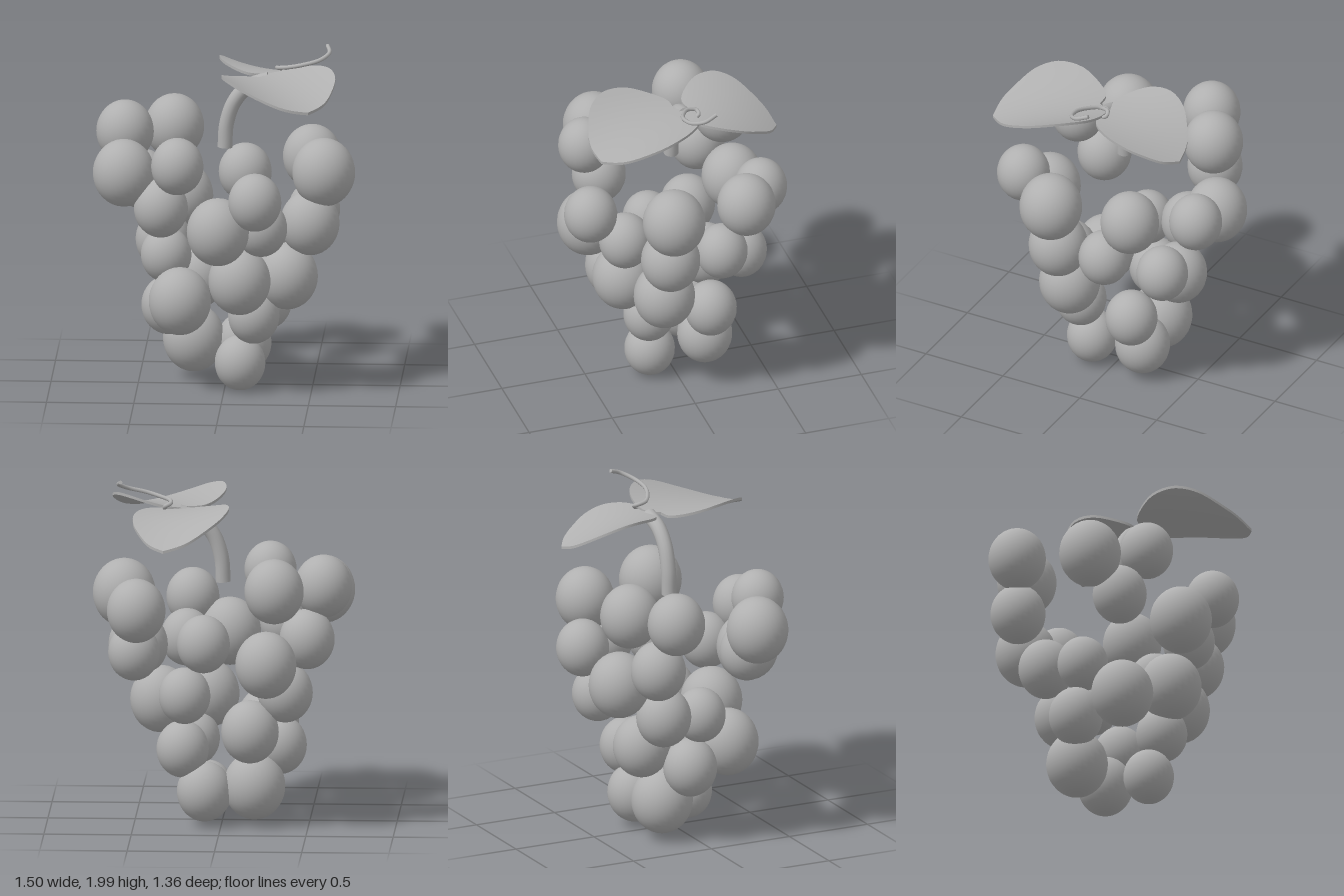
import * as THREE from 'three';

const grey = new THREE.MeshStandardMaterial({ color: 0xb0b0b0 });
grey.name = 'plain grey';

// Grapes: x, y, z, radius
const GRAPES = [
  // top tier
  [-0.59, 1.425, -0.27, 0.165], [-0.315, 1.42, -0.43, 0.17],
  [-0.57, 1.31, 0.26, 0.177], [-0.255, 1.39, 0.42, 0.15],
  [0.57, 1.3, 0.15, 0.18], [0.48, 1.28, -0.315, 0.168],
  // shoulder tier
  [0.195, 1.21, 0.53, 0.152], [0.085, 1.13, -0.53, 0.152],
  [-0.5, 1.13, -0.34, 0.158], [-0.355, 1.115, 0.3, 0.155],
  // middle tier
  [-0.02, 1.02, 0.475, 0.178], [0.22, 1.01, 0.33, 0.15],
  [0.49, 1.0, 0.145, 0.17], [0.5, 1.01, -0.16, 0.148],
  [-0.27, 1.0, -0.475, 0.175],
  // lower tier
  [-0.37, 0.8, -0.24, 0.158], [-0.34, 0.77, 0.01, 0.145],
  [0.2, 0.8, -0.375, 0.148], [0.095, 0.69, 0.3, 0.178],
  [0.36, 0.685, 0.14, 0.176], [-0.17, 0.575, -0.28, 0.165],
  [-0.25, 0.55, 0.23, 0.178],
  // bottom tier
  [-0.33, 0.46, -0.05, 0.155], [0.17, 0.455, 0.17, 0.147],
  [0.22, 0.455, -0.185, 0.15], [-0.19, 0.24, -0.16, 0.177],
  [0.095, 0.21, -0.19, 0.158], [0.09, 0.17, 0.14, 0.145],
];

function add(group, name, geometry) {
  const mesh = new THREE.Mesh(geometry, grey);
  mesh.name = name;
  group.add(mesh);
  return mesh;
}

const curve = (pts) => new THREE.CatmullRomCurve3(pts.map((p) => new THREE.Vector3(...p)));

// Closed tube: flat discs cap both ends
function cappedTube(group, name, pts, radius, steps, sides) {
  const part = new THREE.Group();
  part.name = name;
  const path = curve(pts);
  add(part, name + 'Body', new THREE.TubeGeometry(path, steps, radius, sides));
  for (const t of [0, 1]) {
    const cap = add(part, name + 'Cap', new THREE.CircleGeometry(radius, sides));
    const end = path.getPointAt(t);
    cap.position.copy(end);
    cap.lookAt(end.clone().addScaledVector(path.getTangentAt(t), t ? 1 : -1));
  }
  group.add(part);
}

// Half outline of the heart-shaped leaf: width, 0, distance from notch to tip
const HALF_LEAF = curve([
  [0, 0, 0], [0.25, 0, -0.06], [0.6, 0, 0.02], [0.88, 0, 0.17], [1, 0, 0.38],
  [0.93, 0, 0.58], [0.68, 0, 0.77], [0.4, 0, 0.91], [0, 0, 1],
]);

// Thin slab bent into a cupped, drooping heart
function leafGeometry({ length, plus, minus, droop, cup, tilt }) {
  const geo = new THREE.BoxGeometry(2, 0.016, 1, 16, 1, 28);
  const pos = geo.attributes.position;
  for (let i = 0; i < pos.count; i++) {
    const across = pos.getX(i);
    const t = pos.getZ(i) + 0.5;
    const edge = HALF_LEAF.getPoint(t);
    const a = Math.abs(across);
    const w = across * edge.x * (across > 0 ? plus : minus);
    const s = THREE.MathUtils.lerp(t, edge.z, a);
    const y = pos.getY(i) - droop * s * s + cup * w * w + tilt * w;
    pos.setXYZ(i, w, y, s * length);
  }
  geo.computeVertexNormals();
  return geo;
}

function addLeaf(group, name, base, tip, shape) {
  const dx = tip[0] - base[0], dz = tip[1] - base[1];
  const leaf = add(group, name, leafGeometry({ ...shape, length: Math.hypot(dx, dz) }));
  leaf.position.set(base[0], 1.82, base[1]);
  leaf.rotation.y = Math.atan2(dx, dz);
}

export function createModel() {
  const model = new THREE.Group();
  model.name = 'grapeBunch';

  // Slightly elongated grapes
  const grapes = new THREE.Group();
  grapes.name = 'grapes';
  const ball = new THREE.SphereGeometry(1, 28, 20);
  for (const [x, y, z, r] of GRAPES) {
    const grape = add(grapes, 'grape', ball);
    grape.position.set(x, y, z);
    grape.scale.set(r, r * 1.1, r);
  }
  model.add(grapes);

  // Bent stem
  cappedTube(model, 'stem', [
    [-0.005, 1.4, -0.02], [0.005, 1.54, -0.02], [0.05, 1.67, -0.018],
    [0.13, 1.76, -0.02], [0.25, 1.805, -0.022],
  ], 0.043, 24, 14);

  // Curling tendril
  cappedTube(model, 'tendril', [
    [0.25, 1.8, -0.025], [0.325, 1.825, -0.05], [0.325, 1.845, -0.08], [0.295, 1.86, -0.07],
    [0.3, 1.87, -0.02], [0.36, 1.885, 0.025], [0.44, 1.905, 0.05],
    [0.54, 1.93, 0.03], [0.593, 1.96, -0.03], [0.58, 1.985, -0.1],
  ], 0.012, 60, 8);

  // Two heart-shaped leaves
  addLeaf(model, 'frontLeaf', [0.2, 0.03], [0.5, 0.565],
    { plus: 0.325, minus: 0.34, droop: 0.075, cup: 0.75, tilt: 0 });
  addLeaf(model, 'backLeaf', [0.22, -0.05], [0.315, -0.55],
    { plus: 0.31, minus: 0.245, droop: 0.155, cup: 0.5, tilt: 0.06 });

  return model;
}
